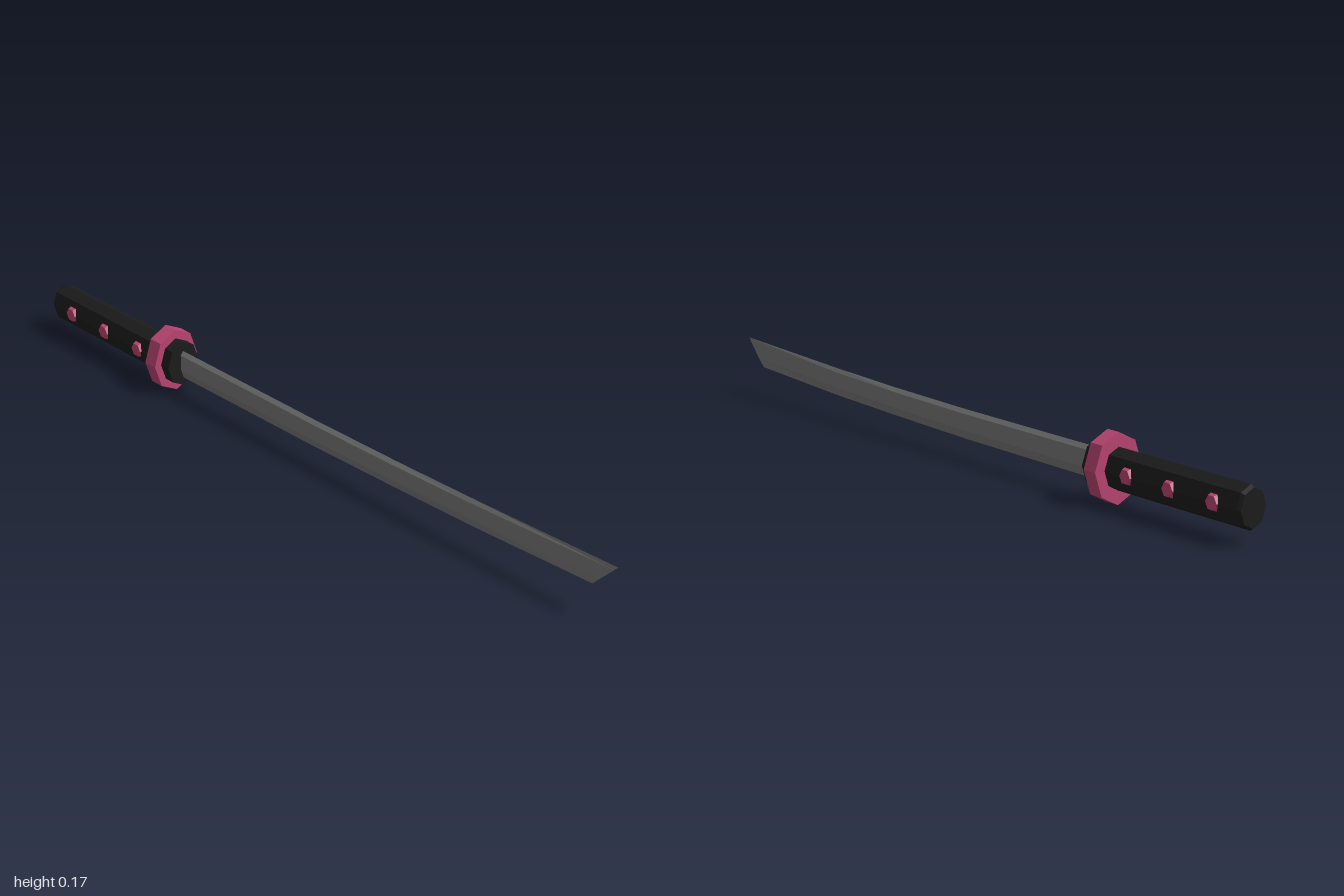
import * as THREE from 'three';

const material = (color) => new THREE.MeshStandardMaterial({ color, flatShading: true });
const black = material(0x1c1c1c), pink = material(0xb94470), steel = material(0x777777);
const AXIS_Y = 0.086;

// Eight-sided oval part along x; profile is [radius, x], height and depth scale the radius
function ovalPart(name, profile, height, depth, mat) {
  const points = profile.map(([r, x]) => new THREE.Vector2(r, x));
  const geometry = new THREE.LatheGeometry(points, 8);
  geometry.rotateZ(-Math.PI / 2).scale(1, height, depth).translate(0, AXIS_Y, 0);
  const mesh = new THREE.Mesh(geometry, mat);
  mesh.name = name;
  return mesh;
}

const disc = (x0, x1) => [[0, x0], [1, x0], [1, x1], [0, x1]];

// Blade lofted through six-sided sections: edge, bevel and spine
function bladeGeometry() {
  // x at edge, x at spine, y at edge, y at spine, half thickness
  const stations = [
    [-0.51, -0.51, 0.046, 0.122, 0.008],
    [0.02, 0.02, 0.049, 0.123, 0.008],
    [0.3, 0.3, 0.055, 0.127, 0.0075],
    [0.56, 0.56, 0.062, 0.134, 0.006],
    [0.93, 1.0, 0.079, 0.151, 0.0015],
  ];
  // height fraction, side
  const section = [[0, 0], [0.3, 1], [0.86, 1], [1, 0], [0.86, -1], [0.3, -1]];
  const n = section.length, positions = [], index = [];
  for (const [xe, xs, ye, ys, t] of stations)
    for (const [h, side] of section)
      positions.push(xe + (xs - xe) * h, ye + (ys - ye) * h, side * t);
  for (let s = 0; s < stations.length - 1; s++)
    for (let i = 0; i < n; i++) {
      const a = s * n + i, b = s * n + (i + 1) % n;
      index.push(a, a + n, b, b, a + n, b + n);
    }
  // End caps
  const last = (stations.length - 1) * n;
  for (let i = 1; i < n - 1; i++) {
    index.push(0, i, i + 1);
    index.push(last, last + i + 1, last + i);
  }
  const geometry = new THREE.BufferGeometry();
  geometry.setAttribute('position', new THREE.Float32BufferAttribute(positions, 3));
  geometry.setIndex(index);
  const flat = geometry.toNonIndexed();
  flat.computeVertexNormals();
  return flat;
}

export function createModel() {
  const group = new THREE.Group();
  group.name = 'sword';

  // Grip with softened pommel end
  const grip = [[0, -1], [0.9, -1], [1, -0.99], [1, -0.54], [0, -0.54]];
  group.add(ovalPart('grip', grip, 0.051, 0.041, black));
  group.add(ovalPart('guard', disc(-0.56, -0.52), 0.085, 0.069, pink));
  group.add(ovalPart('collar', disc(-0.53, -0.49), 0.061, 0.049, black));

  // Hexagonal studs on both sides of the grip
  for (const x of [-0.914, -0.773, -0.632])
    for (const side of [1, -1]) {
      const geometry = new THREE.CylinderGeometry(0.018, 0.026, 0.02, 6);
      geometry.rotateY(Math.PI / 2).rotateX(side * Math.PI / 2);
      const stud = new THREE.Mesh(geometry, pink);
      stud.name = 'stud';
      stud.position.set(x, AXIS_Y + 0.001, side * 0.034);
      group.add(stud);
    }

  const blade = new THREE.Mesh(bladeGeometry(), steel);
  blade.name = 'blade';
  group.add(blade);
  return group;
}
